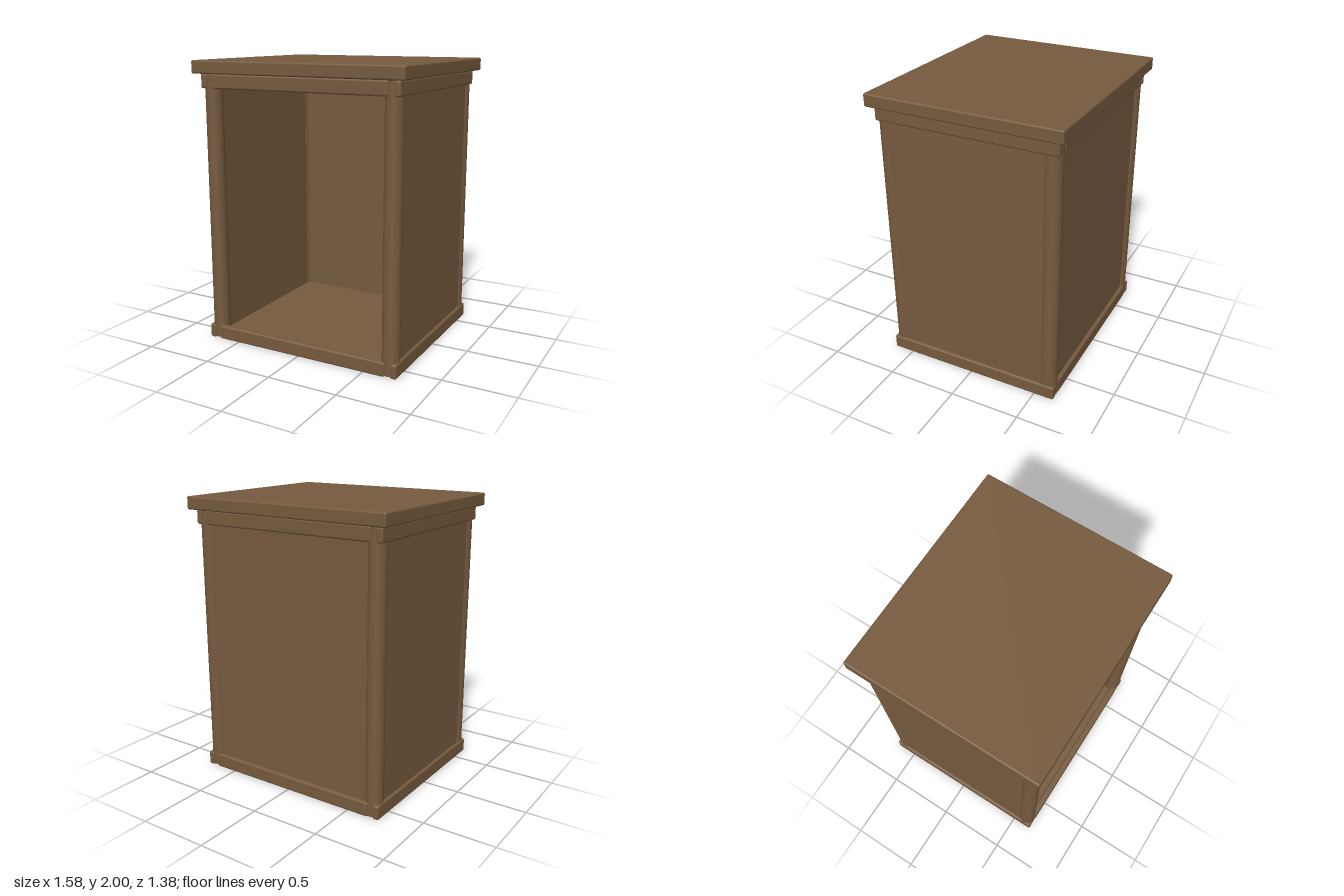
import * as THREE from 'three';
import { RoundedBoxGeometry } from 'three/addons/geometries/RoundedBoxGeometry.js';

export function createModel() {
  const model = new THREE.Group();
  model.name = 'openCabinet';
  const wood = new THREE.MeshStandardMaterial({ color: 0x765a3e });

  const add = (name, geometry, x, y, z) => {
    const mesh = new THREE.Mesh(geometry, wood);
    mesh.name = name;
    mesh.position.set(x, y, z);
    model.add(mesh);
  };
  // Box given by its limits on each axis, with optional rounded edges
  const block = (name, [x0, x1], [y0, y1], [z0, z1], radius = 0) => {
    const size = [x1 - x0, y1 - y0, z1 - z0];
    const geometry = radius
      ? new RoundedBoxGeometry(...size, 2, radius)
      : new THREE.BoxGeometry(...size);
    add(name, geometry, (x0 + x1) / 2, (y0 + y1) / 2, (z0 + z1) / 2);
  };

  // Overhanging top slab
  block('topSlab', [-0.79, 0.79], [1.91, 2], [-0.69, 0.69], 0.012);

  // Hollow body, open at the front
  block('floor', [-0.725, 0.725], [0.002, 0.07], [-0.62, 0.62]);
  block('ceiling', [-0.725, 0.725], [1.84, 1.91], [-0.62, 0.62]);
  block('backPanel', [-0.635, 0.635], [0.07, 1.84], [-0.62, -0.568]);
  block('leftPanel', [0.635, 0.725], [0.07, 1.84], [-0.62, 0.62]);
  block('rightPanel', [-0.725, -0.635], [0.07, 1.84], [-0.62, 0.62]);

  // Round corner posts
  const post = new THREE.CylinderGeometry(0.06, 0.06, 1.9, 32);
  for (const x of [-0.68, 0.68]) {
    for (const z of [-0.585, 0.585]) {
      add((z > 0 ? 'front' : 'back') + (x > 0 ? 'Left' : 'Right') + 'Post', post, x, 0.96, z);
    }
  }

  // Rails around the bottom and under the slab
  for (const [level, y] of [['bottom', [0, 0.1]], ['top', [1.81, 1.908]]]) {
    block(level + 'FrontRail', [-0.66, 0.66], y, [0.6, 0.647], 0.012);
    block(level + 'BackRail', [-0.66, 0.66], y, [-0.647, -0.6], 0.012);
    block(level + 'LeftRail', [0.7, 0.745], y, [-0.647, 0.647], 0.012);
    block(level + 'RightRail', [-0.745, -0.7], y, [-0.647, 0.647], 0.012);
  }

  return model;
}
